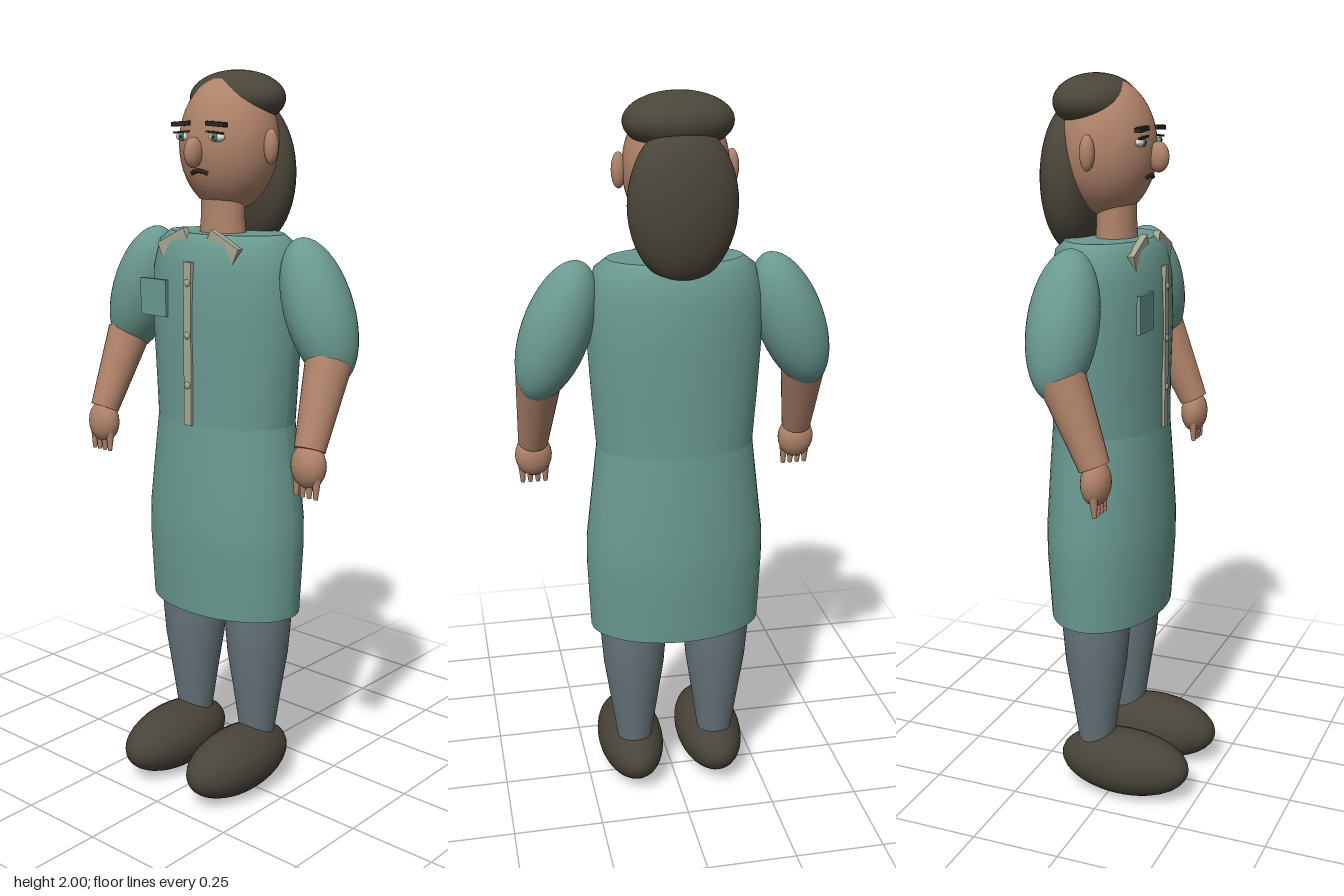
import * as THREE from 'three';

const mat = (name, color) => {
  const m = new THREE.MeshStandardMaterial({ color });
  m.name = name;
  return m;
};

export function createModel() {
  const root = new THREE.Group();
  root.name = 'figure';
  const teal = mat('teal cloth', 0x6a9a90);
  const trim = mat('beige trim', 0xa9a792);
  const skin = mat('skin', 0xb0836a);
  const hair = mat('dark hair', 0x4b463a);
  const leather = mat('shoe leather', 0x49443a);
  const trousers = mat('grey trousers', 0x66757a);
  const white = mat('eye white', 0xdedcd2);
  const iris = mat('iris', 0x4d7a6c);
  const dark = mat('dark line', 0x2b2521);

  const add = (name, geo, material, pos = [0, 0, 0], rotZ = 0) => {
    const m = new THREE.Mesh(geo, material);
    m.name = name;
    m.position.set(...pos);
    m.rotation.z = rotZ;
    root.add(m);
    return m;
  };
  const ball = (name, material, pos, radii, rotZ = 0, seg = 32) => {
    const m = add(name, new THREE.SphereGeometry(1, seg, seg / 2), material, pos, rotZ);
    m.scale.set(...radii);
    return m;
  };
  const box = (name, material, pos, size, rotZ = 0) =>
    add(name, new THREE.BoxGeometry(...size), material, pos, rotZ);

  // Closed tube through elliptical rings [y, x radius, z radius], top to bottom
  const loft = (name, material, rings, cx, cz) => {
    const n = rings.length - 1;
    const geo = new THREE.CylinderGeometry(1, 1, 1, 48, n, false, Math.PI / 2);
    const p = geo.attributes.position;
    for (let i = 0; i < p.count; i++) {
      const [y, rx, rz] = rings[Math.round((0.5 - p.getY(i)) * n)];
      p.setXYZ(i, cx + p.getX(i) * rx, y, cz + p.getZ(i) * rz);
    }
    geo.computeVertexNormals();
    return add(name, geo, material);
  };

  // Tapered limb between two points
  const limb = (name, material, a, b, ra, rb, seg = 24) => {
    const from = new THREE.Vector3(...a), to = new THREE.Vector3(...b);
    const dir = to.clone().sub(from);
    const m = add(name, new THREE.CylinderGeometry(rb, ra, dir.length(), seg), material);
    m.position.copy(from).add(to).multiplyScalar(0.5);
    m.quaternion.setFromUnitVectors(new THREE.Vector3(0, 1, 0), dir.normalize());
    return m;
  };

  // Tunic
  loft('tunicTop', teal, [
    [1.58, 0.18, 0.11], [1.555, 0.213, 0.134], [1.48, 0.232, 0.15], [1.35, 0.234, 0.155],
    [1.2, 0.225, 0.151], [1.07, 0.215, 0.152],
  ], 0, -0.045);
  loft('tunicSkirt', teal, [
    [1.07, 0.215, 0.152], [0.95, 0.229, 0.16], [0.8, 0.247, 0.168], [0.72, 0.248, 0.168],
    [0.62, 0.244, 0.162], [0.53, 0.24, 0.156],
  ], 0, -0.045);

  // Placket, buttons and chest pocket
  box('placket', trim, [0, 1.29, 0.108], [0.026, 0.44, 0.012]);
  for (const y of [1.455, 1.315, 1.18]) ball('button', trim, [0, y, 0.114], [0.01, 0.01, 0.005], 0, 12);
  box('pocket', teal, [-0.131, 1.405, 0.102], [0.094, 0.1, 0.01]);

  // Neck and head
  loft('neck', skin, [[1.72, 0.064, 0.052], [1.62, 0.064, 0.052], [1.56, 0.07, 0.056]], 0, -0.03);
  ball('head', skin, [0, 1.81, -0.055], [0.137, 0.178, 0.13], 0, 48);
  ball('hairCap', hair, [0, 1.927, -0.088], [0.141, 0.073, 0.107], 0, 48);
  ball('longHair', hair, [0, 1.73, -0.148], [0.141, 0.2, 0.083], 0, 48);
  ball('nose', skin, [0, 1.79, 0.087], [0.021, 0.04, 0.029], 0, 20);

  // Mouth, a gently arched line
  const lip = new THREE.QuadraticBezierCurve3(
    new THREE.Vector3(-0.028, 1.736, 0.06), new THREE.Vector3(0, 1.75, 0.071), new THREE.Vector3(0.028, 1.736, 0.06));
  add('mouth', new THREE.TubeGeometry(lip, 12, 0.006, 8), dark);

  for (const s of [-1, 1]) {
    // Face details
    ball('ear', skin, [s * 0.146, 1.805, -0.052], [0.019, 0.046, 0.02], 0, 20);
    ball('eye', white, [s * 0.057, 1.829, 0.06], [0.027, 0.012, 0.012], 0, 20);
    ball('iris', iris, [s * 0.057, 1.829, 0.069], [0.011, 0.011, 0.005], 0, 16);
    ball('pupil', dark, [s * 0.057, 1.829, 0.073], [0.005, 0.005, 0.002], 0, 12);
    box('eyelid', dark, [s * 0.057, 1.841, 0.067], [0.056, 0.005, 0.009], s * -0.08);
    box('eyebrow', dark, [s * 0.06, 1.862, 0.064], [0.062, 0.012, 0.018], s * -0.06);

    // Collar flap
    box('collar', trim, [s * 0.083, 1.545, 0.066], [0.105, 0.06, 0.018], s * -0.45);

    // Arm: puffed sleeve, forearm, hand
    ball('sleeve', teal, [s * 0.315, 1.395, -0.047], [0.091, 0.195, 0.092], s * 0.37, 40);
    limb('forearm', skin, [s * 0.362, 1.27, -0.03], [s * 0.376, 1.055, 0.062], 0.062, 0.041);
    ball('hand', skin, [s * 0.376, 1.015, 0.066], [0.051, 0.06, 0.038], 0, 24);
    for (let i = 0; i < 4; i++) {
      const x = s * (0.376 + (i - 1.5) * 0.021);
      limb('finger', skin, [x, 0.995, 0.072], [x, 0.932, 0.075], 0.013, 0.006, 10);
    }

    // Leg and shoe
    loft('leg', trousers, [
      [0.6, 0.096, 0.097], [0.5, 0.094, 0.095], [0.4, 0.086, 0.087], [0.28, 0.068, 0.068], [0.12, 0.045, 0.045],
    ], s * 0.12, -0.046);
    ball('shoe', leather, [s * 0.12, 0.094, 0.04], [0.095, 0.094, 0.192], 0, 40);
  }
  return root;
}
